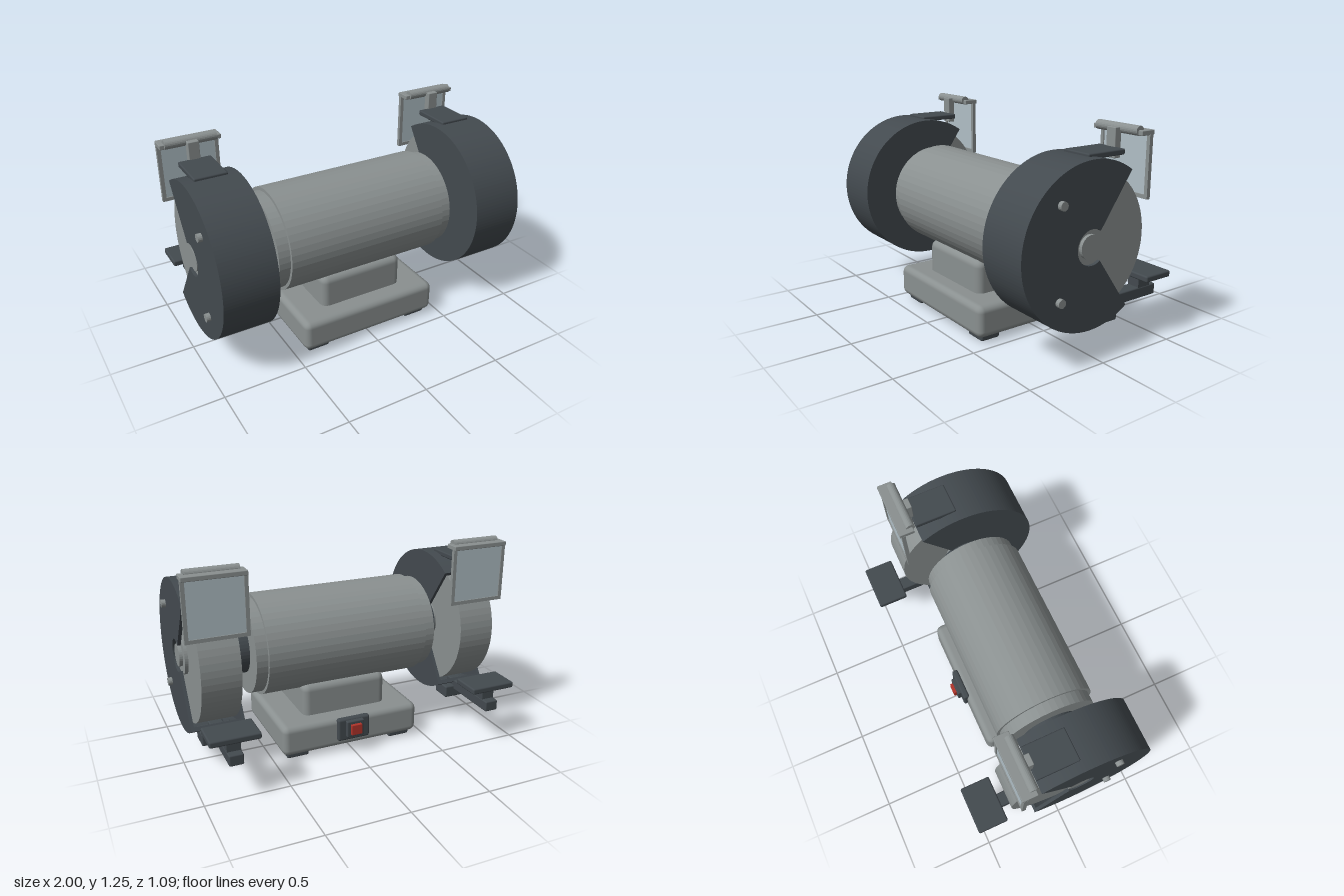
import * as THREE from 'three';
import { RoundedBoxGeometry } from 'three/addons/geometries/RoundedBoxGeometry.js';

const CY = 0.66, CZ = 0.087; // height and depth of the shaft
const UX = 0.815;            // distance of each wheel unit from the middle

function material(name, color) {
  const m = new THREE.MeshStandardMaterial({ color });
  m.name = name;
  return m;
}

export function createModel() {
  const grey = material('castGrey', 0x8a9090);
  const dark = material('darkGrey', 0x434a4f);
  const red = material('switchRed', 0xb0342a);
  const glass = material('paleGlass', 0xb0bfc6);

  const model = new THREE.Group();
  model.name = 'benchGrinder';

  function add(parent, name, geometry, mat, x, y, z) {
    const mesh = new THREE.Mesh(geometry, mat);
    mesh.name = name;
    mesh.position.set(x, y, z);
    parent.add(mesh);
    return mesh;
  }
  // Box given by its limits, with edges rounded by r
  function box(parent, name, mat, [x0, x1], [y0, y1], [z0, z1], r = 0) {
    const w = x1 - x0, h = y1 - y0, d = z1 - z0;
    const g = r ? new RoundedBoxGeometry(w, h, d, 2, r) : new THREE.BoxGeometry(w, h, d);
    return add(parent, name, g, mat, (x0 + x1) / 2, (y0 + y1) / 2, (z0 + z1) / 2);
  }
  // Faceted cylinder lying along x
  function rod(parent, name, mat, r, length, x, y = CY, z = CZ, sides = 48) {
    const g = new THREE.CylinderGeometry(r, r, length, sides).rotateZ(Math.PI / 2).toNonIndexed();
    g.computeVertexNormals();
    return add(parent, name, g, mat, x, y, z);
  }
  // Ring sector open to the back, extruded along x
  function sector(parent, name, rIn, rOut, thickness, x) {
    const a = THREE.MathUtils.degToRad(125);
    const s = new THREE.Shape();
    s.absarc(0, 0, rOut, -a, a, false);
    s.absarc(0, 0, rIn, a, -a, true);
    const g = new THREE.ExtrudeGeometry(s, { depth: thickness, bevelEnabled: false, curveSegments: 48 });
    g.translate(0, 0, -thickness / 2).rotateY(-Math.PI / 2);
    return add(parent, name, g, dark, x, CY, CZ);
  }

  // Base, pedestal and feet
  box(model, 'base', grey, [-0.45, 0.45], [0.032, 0.226], [-0.253, 0.425], 0.04);
  box(model, 'basePlate', dark, [-0.41, 0.41], [0.028, 0.036], [-0.213, 0.385]);
  box(model, 'pedestal', grey, [-0.275, 0.275], [0.16, 0.425], [-0.14, 0.312], 0.045);
  for (const x of [-0.345, 0.345]) {
    for (const z of [-0.151, 0.323]) {
      box(model, 'foot', dark, [x - 0.07, x + 0.07], [0, 0.045], [z - 0.063, z + 0.063], 0.012);
    }
  }

  // Switch on the back of the base
  box(model, 'switchPlate', dark, [-0.105, 0.105], [0.08, 0.226], [-0.277, -0.235], 0.014);
  box(model, 'switchFrame', dark, [-0.057, 0.057], [0.11, 0.216], [-0.301, -0.27], 0.007);
  box(model, 'switchButton', red, [-0.035, 0.035], [0.13, 0.197], [-0.32, -0.295], 0.004);

  // Motor
  rod(model, 'motorBody', grey, 0.31, 1.02, 0);
  rod(model, 'motorEndCaps', grey, 0.29, 1.16, 0);

  // Wheel units, mirrored left and right
  for (const s of [-1, 1]) {
    const unit = new THREE.Group();
    unit.name = s > 0 ? 'leftWheelUnit' : 'rightWheelUnit';
    unit.position.x = s * UX;
    model.add(unit);

    // Collars, wheel and hub
    rod(unit, 'collar', dark, 0.163, 0.065, -s * 0.21);
    rod(unit, 'collarStep', dark, 0.153, 0.035, -s * 0.165);
    rod(unit, 'shaft', grey, 0.067, 0.31, 0, CY, CZ, 32);
    rod(unit, 'flange', grey, 0.117, 0.27, 0);
    rod(unit, 'grindingWheel', grey, 0.408, 0.23, 0, CY, CZ, 64);

    // Guard: two side plates joined by a rim
    sector(unit, 'guardOuterPlate', 0.098, 0.457, 0.02, s * 0.15);
    sector(unit, 'guardInnerPlate', 0.098, 0.457, 0.02, -s * 0.15);
    sector(unit, 'guardRim', 0.432, 0.457, 0.29, 0);
    for (const y of [0.41, 0.914]) rod(unit, 'guardBolt', grey, 0.024, 0.035, s * 0.1675, y, 0.3, 16);

    // Eye shield and its bracket
    box(unit, 'shieldArm', dark, [-0.097, 0.097], [1.1, 1.132], [-0.184, 0.073], 0.008);
    box(unit, 'shieldPost', grey, [-0.033, 0.033], [1.07, 1.235], [-0.214, -0.17], 0.004);
    rod(unit, 'shieldHinge', grey, 0.027, 0.305, 0, 1.227, -0.228, 20);
    box(unit, 'shieldClamp', grey, [-0.18, 0.18], [1.204, 1.231], [-0.305, -0.215], 0.004);
    box(unit, 'shieldGlass', glass, [-0.16, 0.16], [0.88, 1.21], [-0.288, -0.279]);
    for (const x of [-0.17, 0.17]) {
      box(unit, 'shieldFrameSide', grey, [x - 0.011, x + 0.011], [0.862, 1.21], [-0.295, -0.272]);
    }
    box(unit, 'shieldFrameBottom', grey, [-0.18, 0.18], [0.862, 0.884], [-0.295, -0.272]);

    // Tool rest
    box(unit, 'restMount', dark, [-0.102, 0.102], [0.177, 0.255], [-0.172, -0.043], 0.01);
    box(unit, 'restArm', dark, [-0.042, 0.042], [0.227, 0.293], [-0.536, -0.08], 0.008);
    box(unit, 'restPost', dark, [-0.04, 0.04], [0.28, 0.37], [-0.49, -0.4]);
    box(unit, 'restTable', dark, [-0.145, 0.145], [0.362, 0.4], [-0.542, -0.352], 0.01);
  }
  return model;
}
